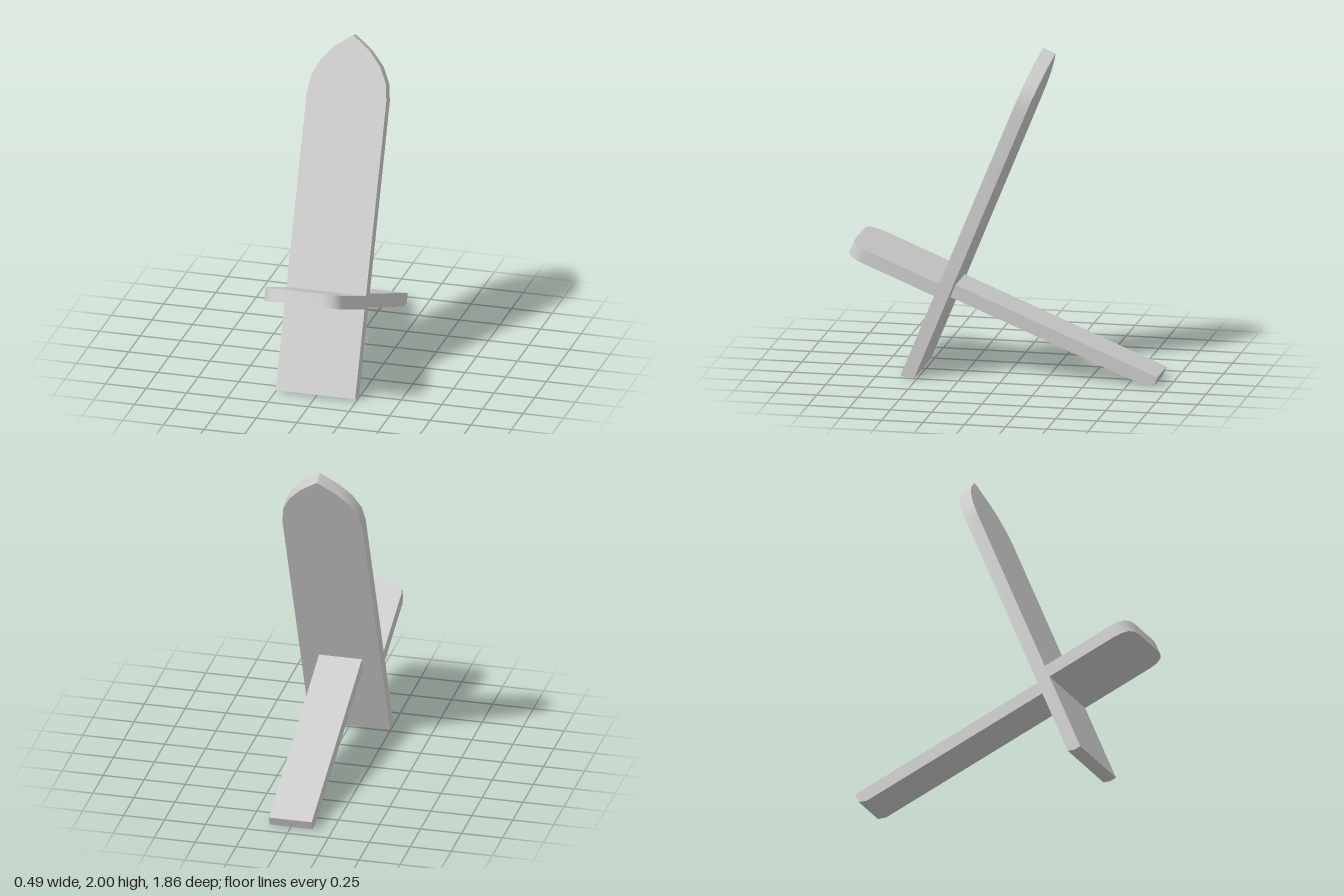
import * as THREE from 'three';
import { toCreasedNormals } from 'three/addons/utils/BufferGeometryUtils.js';

const THICK = 0.081; // plank thickness
const W = 0.245;     // half width of backrest and seat
const T = 0.131;     // half width of the seat's tail and its slot
const LEAN = 0.3876; // backrest lean from vertical; the seat is square to it

// Extrude a plank outline, tilt it into place and trim its foot level with the floor.
// cut = depth below the upper face at which the floor meets the plank's end.
function plank(name, shape, tilt, y, z, cut) {
  const geo = new THREE.ExtrudeGeometry(shape, {
    depth: THICK, steps: 2, bevelEnabled: false, curveSegments: 4,
  });
  geo.translate(0, 0, -THICK);
  const pos = geo.attributes.position;
  for (let i = 0; i < pos.count; i++) {
    if (Math.abs(pos.getZ(i) + THICK / 2) < 1e-4) pos.setZ(i, -cut);
  }
  geo.rotateX(tilt).translate(0, y, z);

  // slide anything below the floor back along the plank to y = 0
  const slope = Math.tan(tilt);
  for (let i = 0; i < pos.count; i++) {
    const h = pos.getY(i);
    if (h < 0) pos.setXYZ(i, pos.getX(i), 0, pos.getZ(i) - h * slope);
  }
  const creased = toCreasedNormals(geo, 0.6);
  const mesh = new THREE.Mesh(creased, new THREE.MeshStandardMaterial({ color: 0xcccccc }));
  mesh.name = name;
  return mesh;
}

// Upright plank with a pointed arch at the top and a slot for the seat
function backrestShape() {
  const s = new THREE.Shape();
  s.moveTo(-W, 0);
  s.lineTo(W, 0);
  s.lineTo(W, 1.776);
  s.quadraticCurveTo(W, 1.992, 0, 2.144);
  s.quadraticCurveTo(-W, 1.992, -W, 1.776);
  s.closePath();

  const slot = new THREE.Path();
  slot.moveTo(-T, 0.535);
  slot.lineTo(-T, 0.616);
  slot.lineTo(T, 0.616);
  slot.lineTo(T, 0.535);
  slot.closePath();
  s.holes.push(slot);
  return s;
}

// Wide seat with rounded front corners, narrowing to a tail behind the backrest
function seatShape() {
  const r = 0.115, shoulder = 0.578, end = 1.977;
  const s = new THREE.Shape();
  s.moveTo(-W + r, 0);
  s.lineTo(W - r, 0);
  s.quadraticCurveTo(W, 0, W, r);
  s.lineTo(W, shoulder);
  s.lineTo(T, shoulder);
  s.lineTo(T, end);
  s.lineTo(-T, end);
  s.lineTo(-T, shoulder);
  s.lineTo(-W, shoulder);
  s.lineTo(-W, r);
  s.quadraticCurveTo(-W, 0, -W + r, 0);
  return s;
}

export function createModel() {
  const chair = new THREE.Group();
  chair.name = 'plankChair';
  chair.add(
    plank('backrest', backrestShape(), -LEAN, 0.015, 0.6, 0.04),
    plank('seat', seatShape(), -Math.PI / 2 - LEAN, 0.803, 0.9, 0.06),
  );
  return chair;
}
